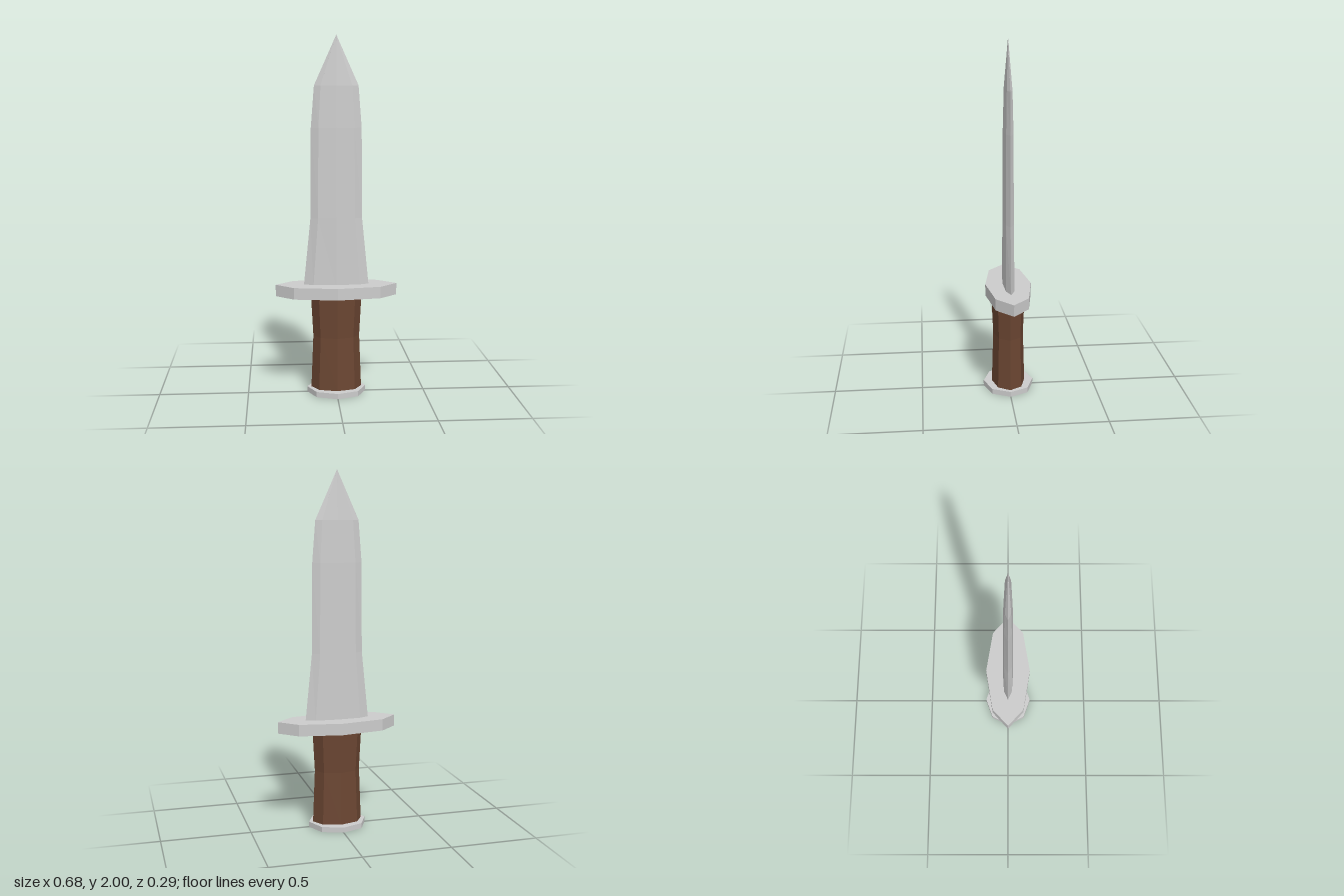
import * as THREE from 'three';

const steel = new THREE.MeshStandardMaterial({ color: 0xcccccc, flatShading: true });
const leather = new THREE.MeshStandardMaterial({ color: 0x6b4632, flatShading: true });

// Eight-sided ring: half width, half depth, and where the diagonal corners sit
const ring = (y, w, d, cx = 0.707, cz = 0.707) => [
  [w, 0], [w * cx, d * cz], [0, d], [-w * cx, d * cz],
  [-w, 0], [-w * cx, -d * cz], [0, -d], [w * cx, -d * cz],
].map(([x, z]) => [x, y, z]);

// Skin a stack of rings from bottom to top and cap both ends
function loft(name, rings, material) {
  const pos = [];
  const tri = (a, b, c) => pos.push(...a, ...b, ...c);
  const n = 8;
  for (let r = 0; r < rings.length - 1; r++) {
    const lo = rings[r], hi = rings[r + 1];
    for (let i = 0; i < n; i++) {
      const j = (i + 1) % n;
      tri(lo[i], hi[i], hi[j]);
      tri(lo[i], hi[j], lo[j]);
    }
  }
  const bottom = rings[0], top = rings[rings.length - 1];
  for (let i = 1; i < n - 1; i++) {
    tri(bottom[0], bottom[i], bottom[i + 1]);
    tri(top[0], top[i + 1], top[i]);
  }
  const geo = new THREE.BufferGeometry();
  geo.setAttribute('position', new THREE.Float32BufferAttribute(pos, 3));
  geo.computeVertexNormals();
  const mesh = new THREE.Mesh(geo, material);
  mesh.name = name;
  return mesh;
}

export function createModel() {
  const group = new THREE.Group();
  group.name = 'dagger';

  // Flat plate at the foot of the grip
  group.add(loft('pommel', [ring(0, 0.165, 0.143), ring(0.03, 0.165, 0.143)], steel));

  // Waisted grip with a thin flare under the guard
  group.add(loft('grip', [
    ring(0.028, 0.142, 0.095),
    ring(0.33, 0.13, 0.086),
    ring(0.553, 0.142, 0.095),
    ring(0.558, 0.165, 0.105),
    ring(0.565, 0.165, 0.105),
  ], leather));

  // Wide pointed crossguard
  group.add(loft('guard', [
    ring(0.56, 0.34, 0.13, 0.706, 0.7),
    ring(0.625, 0.34, 0.13, 0.706, 0.7),
  ], steel));

  // Tapering blade, collapsing to a point
  const section = [[0.61, 0.183, 0.031], [1.0, 0.144, 0.029], [1.5, 0.14, 0.026],
    [1.73, 0.122, 0.02], [2.0, 0.0005, 0.0005]];
  group.add(loft('blade', section.map(([y, w, d]) => ring(y, w, d, 0.71, 0.76)), steel));

  return group;
}
